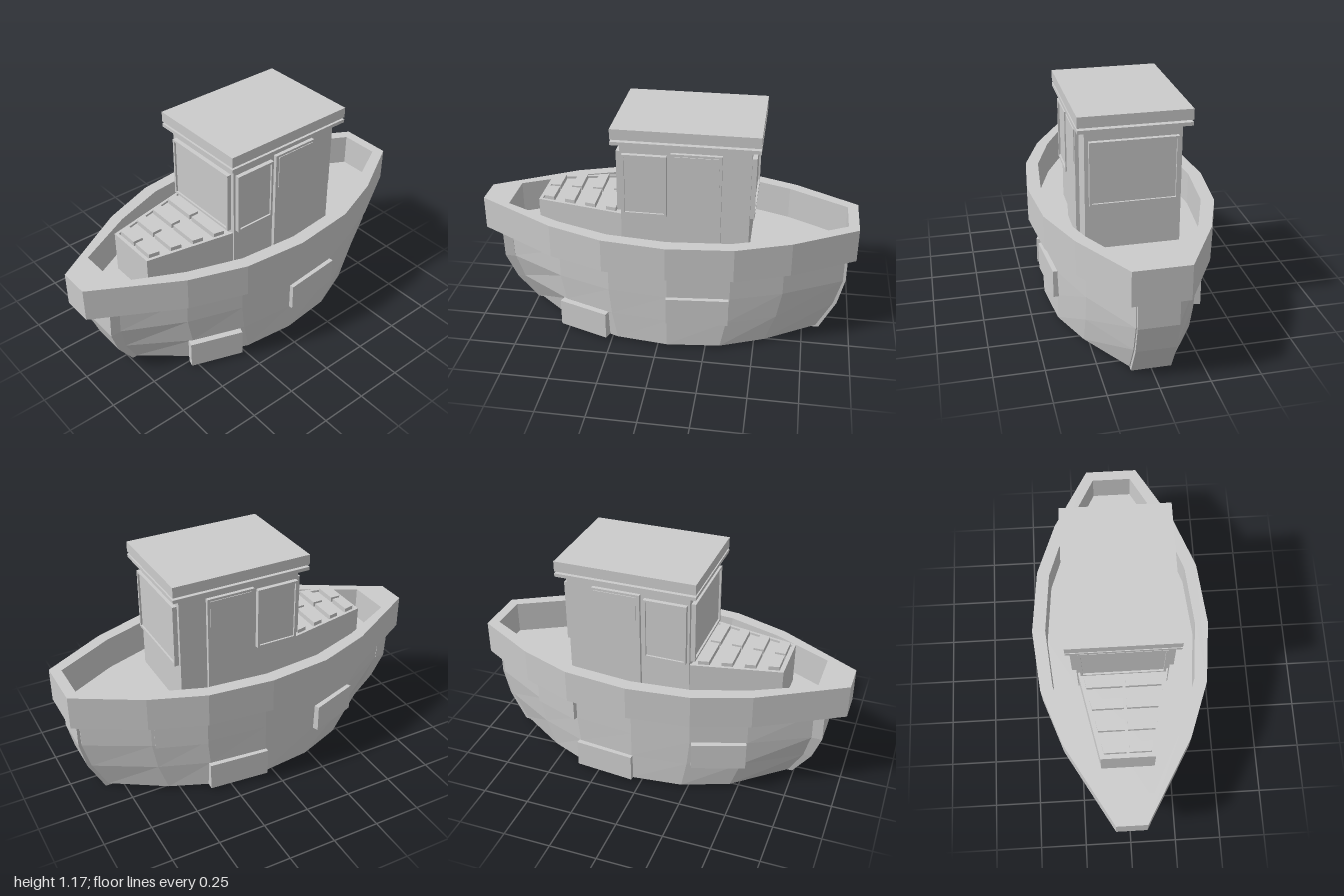
import * as THREE from 'three';

const material = new THREE.MeshStandardMaterial({ color: 0xcccccc, flatShading: true });

// Half outline of the hull, [x, z] from bow to stern on the left side
const HULL = [[0.12, 0.845], [0.275, 0.54], [0.37, 0.26], [0.4, -0.05], [0.37, -0.37], [0.275, -0.635], [0.105, -0.945]];
const RAIL = [[0.08, 1], [0.33, 0.57], [0.435, 0.28], [0.47, -0.05], [0.435, -0.39], [0.33, -0.67], [0.14, -1]];

const mirrored = (half) => [...half, ...half.map(([x, z]) => [-x, z]).reverse()];

function add(parent, name, geometry, x = 0, y = 0, z = 0) {
  const mesh = new THREE.Mesh(geometry, material);
  mesh.name = name;
  mesh.position.set(x, y, z);
  parent.add(mesh);
  return mesh;
}

const box = (parent, name, w, h, d, x, y, z) => add(parent, name, new THREE.BoxGeometry(w, h, d), x, y, z);

// Closed solid through stacked convex sections: levels of { y, half }
function loft(levels) {
  const rings = levels.map(({ y, half }) => mirrored(half).map(([x, z]) => new THREE.Vector3(x, y, z)));
  const tris = [];
  const n = rings[0].length;
  for (let k = 0; k + 1 < rings.length; k++) {
    const a = rings[k], b = rings[k + 1];
    for (let i = 0; i < n; i++) {
      const j = (i + 1) % n;
      tris.push(a[i], a[j], b[j], a[i], b[j], b[i]);
    }
  }
  const bottom = rings[0], top = rings[rings.length - 1];
  for (let i = 1; i + 1 < n; i++) {
    tris.push(bottom[0], bottom[i + 1], bottom[i], top[0], top[i], top[i + 1]);
  }
  const geometry = new THREE.BufferGeometry().setFromPoints(tris);
  geometry.computeVertexNormals();
  return geometry;
}

// Upright ring between two plan outlines
function ringWall(outer, inner, y0, y1) {
  const points = (half) => mirrored(half).map(([x, z]) => new THREE.Vector2(x, -z));
  const shape = new THREE.Shape(points(outer));
  shape.holes.push(new THREE.Path(points(inner)));
  return new THREE.ExtrudeGeometry(shape, { depth: y1 - y0, bevelEnabled: false })
    .rotateX(-Math.PI / 2).translate(0, y0, 0);
}

// Framed window lying in its own xy plane, facing +z
function framedWindow(name, w, h) {
  const group = new THREE.Group();
  group.name = name;
  const rect = (a, b) => [[-a, -b], [a, -b], [a, b], [-a, b]].map(([x, y]) => new THREE.Vector2(x, y));
  const shape = new THREE.Shape(rect(w / 2, h / 2));
  shape.holes.push(new THREE.Path(rect(w / 2 - 0.012, h / 2 - 0.012)));
  add(group, 'windowFrame', new THREE.ExtrudeGeometry(shape, { depth: 0.024, bevelEnabled: false }));
  box(group, 'windowPane', w - 0.024, h - 0.024, 0.014, 0, 0, 0.007);
  return group;
}

function buildHull(boat) {
  // Lower levels draw in towards the middle; the bow also narrows
  const levels = [[0.015, 0.865, 0.05], [0.165, 0.955, 0.085], [0.31, 1, 0.112], [0.465, 1, 0.12]];
  add(boat, 'hull', loft(levels.map(([y, s, bow]) => ({
    y, half: HULL.map(([x, z], i) => [i === 0 ? bow : x, -0.05 + (z + 0.05) * s]),
  }))));

  // Raised plates on bow and stern
  const stem = [[0.01, 0.05, 0.745], [0.165, 0.087, 0.845], [0.31, 0.117, 0.895], [0.465, 0.127, 0.895]];
  add(boat, 'stemPlate', loft(stem.map(([y, w, z]) => ({ y, half: [[w, z], [w, z - 0.055]] }))));
  const stern = [[0, 0.1, -0.84], [0.165, 0.1, -0.925], [0.31, 0.1, -0.96], [0.465, 0.1, -0.96]];
  add(boat, 'sternPlate', loft(stern.map(([y, w, z]) => ({ y, half: [[w, z + 0.04], [w, z]] }))));

  add(boat, 'bulwark', ringWall(RAIL, HULL, 0.46, 0.64));

  // Side plates: from [x, z] to [x, z], centre height
  const plates = [
    [0.278, 0.535, 0.372, 0.27, 0.09],
    [0.4, -0.045, 0.372, -0.365, 0.238],
    [-0.278, 0.535, -0.372, 0.27, 0.238],
    [-0.4, -0.045, -0.372, -0.365, 0.09],
    [-0.37, -0.37, -0.28, -0.62, 0.385],
  ];
  for (const [x0, z0, x1, z1, y] of plates) {
    const plate = box(boat, 'hullPlate', 0.045, 0.148, Math.hypot(x1 - x0, z1 - z0), (x0 + x1) / 2, y, (z0 + z1) / 2);
    plate.rotation.y = Math.atan2(x1 - x0, z1 - z0);
  }
}

function buildCabin(boat) {
  const cabin = new THREE.Group();
  cabin.name = 'cabin';
  boat.add(cabin);
  box(cabin, 'cabinWalls', 0.48, 0.65, 0.655, 0, 0.78, -0.118);
  box(cabin, 'roofTrim', 0.56, 0.018, 0.74, 0, 1.099, -0.12);
  box(cabin, 'roofNeck', 0.5, 0.03, 0.68, 0, 1.112, -0.12);
  box(cabin, 'roof', 0.56, 0.055, 0.74, 0, 1.147, -0.12);

  const place = (win, x, z, turn) => {
    win.position.set(x, 0.87, z);
    win.rotation.y = turn;
    cabin.add(win);
  };
  place(framedWindow('frontWindow', 0.44, 0.33), 0, 0.209, 0);
  place(framedWindow('backWindow', 0.44, 0.33), 0, -0.445, Math.PI);
  for (const side of [1, -1]) {
    place(framedWindow('sideWindow', 0.225, 0.33), side * 0.239, 0.085, side * Math.PI / 2);
    box(cabin, 'door', 0.022, 0.59, 0.255, side * 0.248, 0.757, -0.175);
    box(cabin, 'doorWindow', 0.008, 0.18, 0.225, side * 0.259, 0.95, -0.178);
  }
}

function buildHatch(boat) {
  const hatch = new THREE.Group();
  hatch.name = 'foredeckHatch';
  boat.add(hatch);
  const outer = [[0.14, 0.67], [0.236, 0.2]];
  const inner = [[0.127, 0.653], [0.22, 0.205]];
  add(hatch, 'hatchBase', loft([{ y: 0.46, half: outer }, { y: 0.678, half: outer }]));
  add(hatch, 'hatchRim', ringWall(outer, inner, 0.678, 0.69));

  // Slats in two columns, widening towards the cabin
  const halfWidth = (z) => 0.12 + (0.65 - z) * 0.21;
  for (const z of [0.617, 0.502, 0.387, 0.272]) {
    for (const side of [1, -1]) {
      const z0 = z + 0.027, z1 = z - 0.027;
      const shape = new THREE.Shape([
        [0.008, z0], [halfWidth(z0), z0], [halfWidth(z1), z1], [0.008, z1],
      ].map(([x, d]) => new THREE.Vector2(side * x, -d)));
      const slat = new THREE.ExtrudeGeometry(shape, { depth: 0.028, bevelEnabled: false });
      add(hatch, 'hatchSlat', slat.rotateX(-Math.PI / 2), 0, 0.677, 0);
    }
  }
}

export function createModel() {
  const boat = new THREE.Group();
  boat.name = 'boat';
  buildHull(boat);
  buildCabin(boat);
  buildHatch(boat);
  return boat;
}
